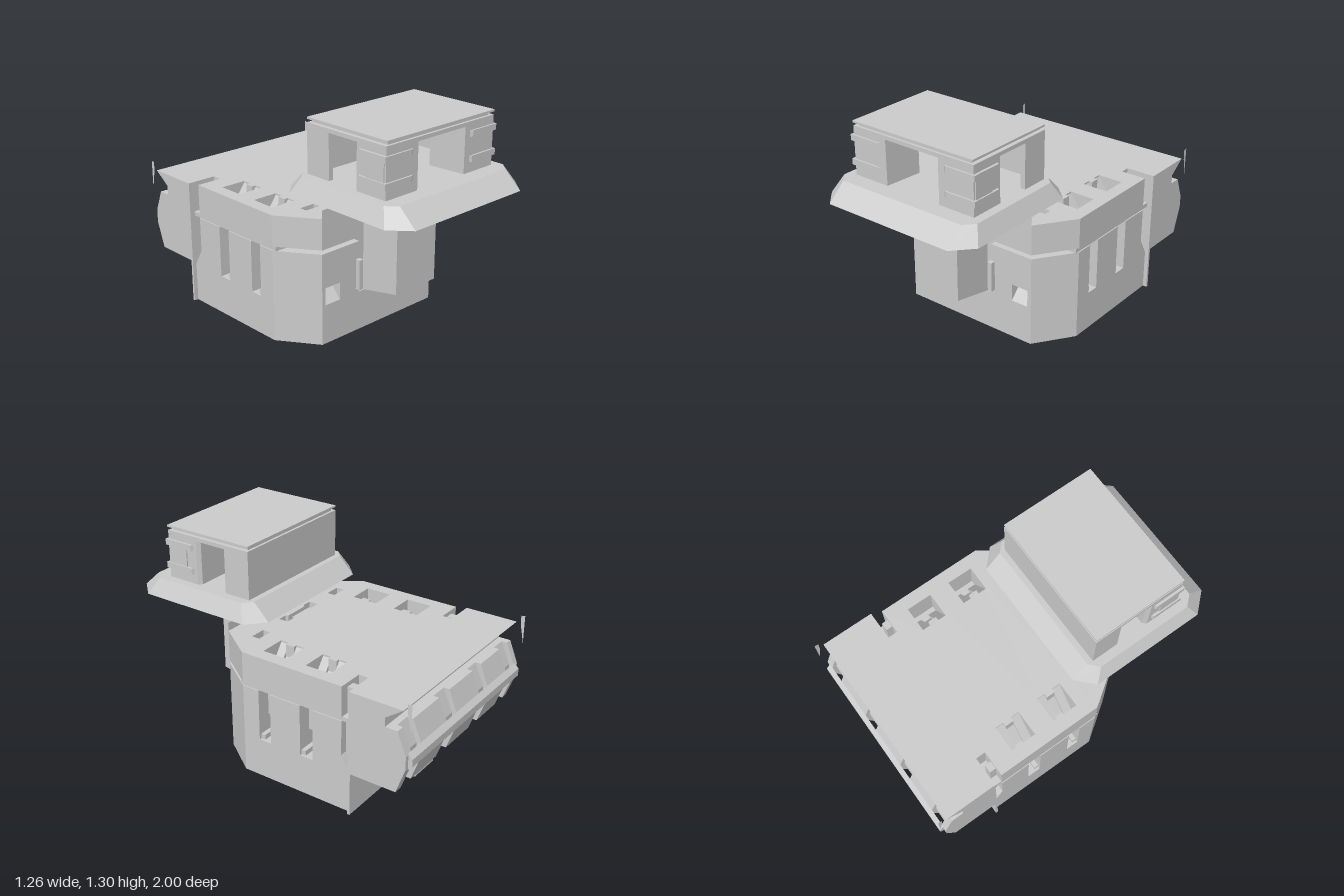
import * as THREE from 'three';

const mat = new THREE.MeshStandardMaterial({ color: 0xcccccc, flatShading: true });
const openMat = new THREE.MeshStandardMaterial({
  color: 0xcccccc, flatShading: true, side: THREE.DoubleSide,
});

export function createModel() {
  const root = new THREE.Group();

  const add = (name, geo, parent = root, material = mat) => {
    const m = new THREE.Mesh(geo, material);
    m.name = name;
    parent.add(m);
    return m;
  };
  const group = (name) => {
    const g = new THREE.Group();
    g.name = name;
    root.add(g);
    return g;
  };
  // box given by its extents
  const box = (name, x0, x1, y0, y1, z0, z1, parent) => add(name,
    new THREE.BoxGeometry(x1 - x0, y1 - y0, z1 - z0)
      .translate((x0 + x1) / 2, (y0 + y1) / 2, (z0 + z1) / 2), parent);
  const toV = (pts) => pts.map(([a, b]) => new THREE.Vector2(a, -b));
  // plan outline [x, z] raised from y0 to y1
  const slab = (name, pts, y0, y1, parent, holes = []) => {
    const s = new THREE.Shape(toV(pts));
    holes.forEach((h) => s.holes.push(new THREE.Path(toV(h))));
    return add(name, new THREE.ExtrudeGeometry(s, { depth: y1 - y0, bevelEnabled: false })
      .rotateX(-Math.PI / 2).translate(0, y0, 0), parent);
  };
  const sideShape = (pts) => new THREE.Shape(toV(pts.map(([z, y]) => [-z, -y])));
  // side profile [z, y] stretched from x0 to x1
  const profile = (name, pts, x0, x1, parent) => add(name,
    new THREE.ExtrudeGeometry(sideShape(pts), { depth: x1 - x0, bevelEnabled: false })
      .rotateY(Math.PI / 2).translate(x0, 0, 0), parent);
  // front profile [x, y] stretched from z0 to z1
  const ramp = (name, pts, z0, z1, parent) => add(name,
    new THREE.ExtrudeGeometry(new THREE.Shape(pts.map(([x, y]) => new THREE.Vector2(x, y))),
      { depth: z1 - z0, bevelEnabled: false }).translate(0, 0, z0), parent);
  const flipX = (pts) => pts.map(([x, z]) => [-x, z]);
  const mirror = (half) => [...half, ...flipX(half).reverse()];
  const rect = (x0, x1, z0, z1) => [[x0, z0], [x1, z0], [x1, z1], [x0, z1]];

  // --- Hull: stacked layers with side slots, windows, neck recess and hatches
  const hull = group('hull');
  const front = [[0.445, 0.34], [0.605, 0.11]];
  const neckRecess = [[0.16, 0.25], [0.16, 0.34]];
  const window = [[0.31, 0.34], [0.31, 0.24], [0.42, 0.24], [0.42, 0.34]];
  const sideSlots = [[0.605, 0], [0.47, 0], [0.47, -0.08], [0.605, -0.08],
    [0.605, -0.285], [0.47, -0.285], [0.47, -0.37], [0.605, -0.37]];
  const rearNotch = [[0.605, -0.56], [0.56, -0.56], [0.56, -0.62]];
  slab('hullBase', mirror([...front, [0.605, -0.62]]), 0, 0.24, hull);
  slab('hullWindowLayer', mirror([...neckRecess, ...window, ...front, ...sideSlots, ...rearNotch]),
    0.24, 0.345, hull);
  slab('hullMiddle', mirror([...neckRecess, ...front, ...sideSlots, ...rearNotch]),
    0.345, 0.555, hull);
  slab('hullSeam', mirror([[0.45, 0.13], [0.598, 0.13], [0.598, -0.62]]), 0.555, 0.58, hull);

  const hatches = [rect(0.365, 0.525, -0.43, -0.27), rect(0.365, 0.525, -0.14, 0.02),
    rect(0.32, 0.42, 0.135, 0.185)];
  const dumbbell = [[-0.15, 0.14], [-0.09, 0.14], [-0.08, 0.155], [0.08, 0.155],
    [0.09, 0.14], [0.15, 0.14], [0.15, 0.2], [0.09, 0.2], [0.08, 0.185],
    [-0.08, 0.185], [-0.09, 0.2], [-0.15, 0.2]];
  slab('hullTop', mirror([...front, [0.605, -0.56], [0.445, -0.56], [0.445, -0.62]]),
    0.58, 0.765, hull, [...hatches, ...hatches.map(flipX), dumbbell]);

  for (const s of [1, -1]) {
    const span = (a, b) => (s > 0 ? [a, b] : [-b, -a]);
    const side = (pts) => (s > 0 ? pts : flipX(pts));
    // hatch floors sloping down and outward, the middle strip set lower
    for (const z of [-0.35, -0.06]) {
      const slope = side([[0.365, 0.58], [0.495, 0.58], [0.365, 0.755]]);
      ramp('hatchRamp', slope, z - 0.08, z - 0.027, hull);
      ramp('hatchRamp', slope, z + 0.027, z + 0.08, hull);
      ramp('hatchMiddleRamp', side([[0.365, 0.58], [0.47, 0.58], [0.39, 0.69], [0.39, 0.765], [0.365, 0.765]]),
        z - 0.027, z + 0.027, hull);
    }
    // sloped window sills, side slot fittings
    profile('windowSill', [[0.34, 0.24], [0.24, 0.345], [0.24, 0.24]], ...span(0.31, 0.42), hull);
    for (const z of [0, -0.285]) {
      box('slotStep', ...span(0.47, 0.59), 0.24, 0.27, z - 0.028, z, hull);
      box('slotRail', ...span(0.47, 0.52), 0.37, 0.555, z - 0.028, z, hull);
    }
    // post in the rear corner notch and the taper closing the notch below
    box('notchPost', ...span(0.5, 0.55), 0.58, 0.74, -0.6, -0.56, hull);
    profile('notchTaper', [[-0.56, 0.345], [-0.62, 0.24], [-0.56, 0.24]], ...span(0.56, 0.605), hull);
    // thin upright plates beside the neck
    add('frontLip', new THREE.PlaneGeometry(0.265, 0.05).translate(s * 0.3125, 0.79, 0.34),
      hull, openMat);
    add('frontStrip', new THREE.PlaneGeometry(0.015, 0.12).translate(s * 0.1725, 0.825, 0.34),
      hull, openMat);
    // brackets on either side of the neck foot
    box('neckBracket', ...span(0.157, 0.185), 0.265, 0.45, 0.34, 0.37, hull);
  }
  box('rearBulkhead', -0.63, 0.63, 0, 0.765, -0.635, -0.62, hull);

  // wedge-shaped block low on the back, its top rising rearward
  const foot = slab('rearFoot', [[-0.18, -0.63], [0.18, -0.63], [0.1, -0.735], [-0.1, -0.735]],
    0, 0.165, hull);
  const fp = foot.geometry.attributes.position;
  for (let i = 0; i < fp.count; i++) {
    if (fp.getY(i) > 0.1) fp.setY(i, 0.13 + 0.035 * (-0.63 - fp.getZ(i)) / 0.105);
  }
  foot.geometry.computeVertexNormals();

  // --- Rear housing with ribbed bumper
  const rear = group('rearHousing');
  profile('rearBody', [[-0.635, 0.765], [-0.95, 0.765], [-0.845, 0.69], [-0.845, 0.635],
    [-0.885, 0.635], [-0.945, 0.5], [-0.945, 0.42], [-0.885, 0.265], [-0.635, 0.265]],
  -0.63, 0.63, rear);
  const panel = [[-0.84, 0.635], [-0.92, 0.635], [-0.975, 0.5], [-0.975, 0.42],
    [-0.92, 0.265], [-0.84, 0.265]];
  for (const [a, b] of [[-0.63, -0.587], [-0.487, -0.26], [-0.16, 0.1], [0.21, 0.476], [0.577, 0.63]]) {
    profile('bumperPanel', panel, a, b, rear);
  }
  profile('bumperBar', [[-0.972, 0.51], [-1, 0.48], [-1, 0.435], [-0.972, 0.41]], -0.605, 0.605, rear);
  // paper-thin blades at the rear corners
  const blade = sideShape([[-0.975, 0.81], [-1, 0.815], [-1, 0.64], [-0.978, 0.75]]);
  for (const x of [-0.63, 0.63]) {
    add('rearBlade', new THREE.ShapeGeometry(blade).rotateY(Math.PI / 2).translate(x, 0, 0),
      rear, openMat);
  }

  // --- Neck column
  profile('neck', [[0.63, 0.9], [0.63, 0.318], [0.37, 0.265], [0.37, 0.9]], -0.157, 0.157);

  // --- Sloped collar, open underneath
  const low = mirror([[0.42, 1], [0.525, 0.885], [0.525, 0.165], [0.42, 0.065]]);
  const high = mirror([[0.42, 0.89], [0.475, 0.83], [0.475, 0.215], [0.42, 0.165]]);
  const tri = [];
  for (let i = 0; i < 8; i++) {
    const j = (i + 1) % 8;
    const a = [low[i][0], 0.885, low[i][1]], b = [low[j][0], 0.885, low[j][1]];
    const c = [high[j][0], 0.985, high[j][1]], d = [high[i][0], 0.985, high[i][1]];
    tri.push(...a, ...b, ...c, ...a, ...c, ...d, ...d, ...c, 0, 0.985, 0.53);
  }
  const collar = new THREE.BufferGeometry();
  collar.setAttribute('position', new THREE.Float32BufferAttribute(tri, 3));
  collar.computeVertexNormals();
  add('collar', collar, root, openMat);

  // --- Cabin: rear shell, front corner posts with wrap-around rails, roof
  const cabin = group('cabin');
  box('cabinBack', -0.42, 0.42, 0.985, 1.275, 0.2, 0.23, cabin);
  box('cabinLintel', -0.42, 0.42, 1.252, 1.275, 0.2, 0.79, cabin);
  box('roofGasket', -0.395, 0.395, 1.275, 1.293, 0.215, 0.775, cabin);
  box('roofPlate', -0.42, 0.42, 1.293, 1.305, 0.2, 0.795, cabin);
  const post = [[0.185, 0.79], [0.42, 0.79], [0.42, 0.58], [0.4, 0.56], [0.165, 0.56]];
  const rail = [[0.225, 0.79], [0.24, 0.8], [0.435, 0.8], [0.435, 0.61], [0.42, 0.6], [0.4, 0.77]];
  for (const s of [1, -1]) {
    const span = (a, b) => (s > 0 ? [a, b] : [-b, -a]);
    const side = (pts) => (s > 0 ? pts : flipX(pts));
    box('cabinSide', ...span(0.39, 0.42), 0.985, 1.252, 0.23, 0.37, cabin);
    slab('cornerPost', side(post), 0.985, 1.252, cabin);
    for (const y of [1.045, 1.188]) slab('cornerRail', side(rail), y, y + 0.036, cabin);
    box('railPad', ...span(0.41, 0.427), 1.081, 1.188, 0.65, 0.78, cabin);
  }
  return root;
}
